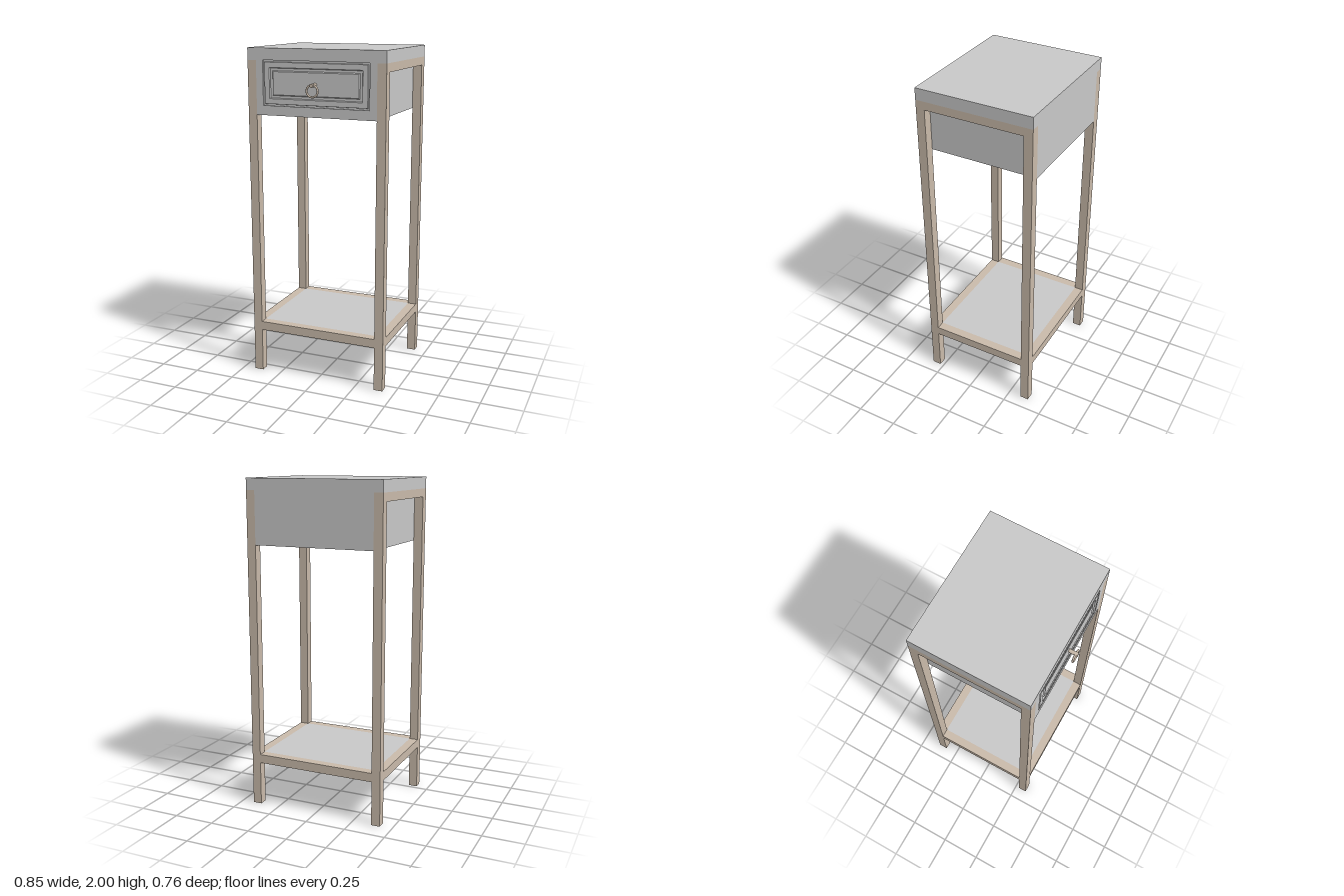
import * as THREE from 'three';

const W = 0.425, BACK = -0.383, FRONT = 0.328, T = 0.054; // outer limits, frame bar size
const FACE = 0.308;                                       // back of the front panel
const IN = W - T;                                         // inner half width
const H = 2, TOP = 1.93, BOTTOM = 1.615;                  // top board and drawer box levels

export function createModel() {
  const paint = new THREE.MeshStandardMaterial({ color: 0xc8c8c8 });
  paint.name = 'greyPaint';
  const wood = new THREE.MeshStandardMaterial({ color: 0xc9baaa });
  wood.name = 'beigeFrame';
  const model = new THREE.Group();
  model.name = 'sideTable';

  const add = (name, geometry, material) => {
    const mesh = new THREE.Mesh(geometry, material);
    mesh.name = name;
    model.add(mesh);
    return mesh;
  };
  // Box given by its limits on each axis
  const block = (name, x0, x1, y0, y1, z0, z1, material) =>
    add(name, new THREE.BoxGeometry(x1 - x0, y1 - y0, z1 - z0), material)
      .position.set((x0 + x1) / 2, (y0 + y1) / 2, (z0 + z1) / 2);

  // Legs, side rails and shelf rails
  for (const [side, x0] of [['right', -W], ['left', IN]]) {
    block(side + 'FrontLeg', x0, x0 + T, 0, TOP, FRONT - T, FRONT, wood);
    block(side + 'BackLeg', x0, x0 + T, 0, TOP, BACK, BACK + T, wood);
    block(side + 'TopRail', x0, x0 + T, 1.88, TOP, BACK + T, FRONT - T, wood);
    block(side + 'ShelfRail', x0, x0 + T, 0.27, 0.324, BACK + T, FRONT - T, wood);
  }
  block('frontShelfRail', -IN, IN, 0.27, 0.324, FRONT - T, FRONT, wood);
  block('backShelfRail', -IN, IN, 0.27, 0.324, BACK, BACK + T, wood);
  block('shelf', -IN, IN, 0.27, 0.324, BACK + T, FRONT - T, paint);

  // Top board and drawer box
  block('topBoard', -W, W, TOP, H, BACK, FACE, paint);
  block('drawerBox', -IN, IN, BOTTOM, TOP, BACK, FACE, paint);

  // Front surround, with an opening for the drawer
  const outline = [[-IN, BOTTOM], [IN, BOTTOM], [IN, TOP], [W, TOP], [W, H], [-W, H], [-W, TOP], [-IN, TOP]];
  const surround = new THREE.Shape(outline.map(([x, y]) => new THREE.Vector2(x, y)));
  const halfW = 0.328, y0 = 1.671, y1 = 1.931;
  surround.holes.push(new THREE.Path([[-halfW, y0], [-halfW, y1], [halfW, y1], [halfW, y0]]
    .map(([x, y]) => new THREE.Vector2(x, y))));
  add('frontSurround', new THREE.ExtrudeGeometry(surround, { depth: FRONT - FACE, bevelEnabled: false }), paint)
    .position.z = FACE;

  // Drawer front: nested rectangles, each an inset from the opening and a depth
  const steps = [[0, 0.01], [0.009, 0.01], [0.011, 0], [0.041, 0], [0.045, 0.009],
    [0.059, 0.009], [0.064, 0.001]];
  const rings = steps.map(([d, depth]) => [[-1, 0], [1, 0], [1, 1], [-1, 1]].map(([sx, top]) =>
    [sx * (halfW - d), top ? y1 - d : y0 + d, FRONT - depth]));
  const points = [];
  const quad = (a, b, c, d) => points.push(...a, ...b, ...c, ...a, ...c, ...d);
  for (let i = 0; i < rings.length - 1; i++) {
    for (let k = 0; k < 4; k++) {
      const n = (k + 1) % 4;
      quad(rings[i][k], rings[i][n], rings[i + 1][n], rings[i + 1][k]);
    }
  }
  quad(...rings[rings.length - 1]);
  const drawer = new THREE.BufferGeometry();
  drawer.setAttribute('position', new THREE.Float32BufferAttribute(points, 3));
  drawer.computeVertexNormals();
  add('drawerFront', drawer, paint);

  // Handle: a peg with a hanging ring
  const peg = add('handlePeg', new THREE.CylinderGeometry(0.011, 0.011, 0.056, 20), wood);
  peg.rotation.x = Math.PI / 2;
  peg.position.set(0, 1.8, 0.353);
  add('handleRing', new THREE.TorusGeometry(0.034, 0.006, 10, 36), wood).position.set(0, 1.769, 0.368);

  return model;
}
